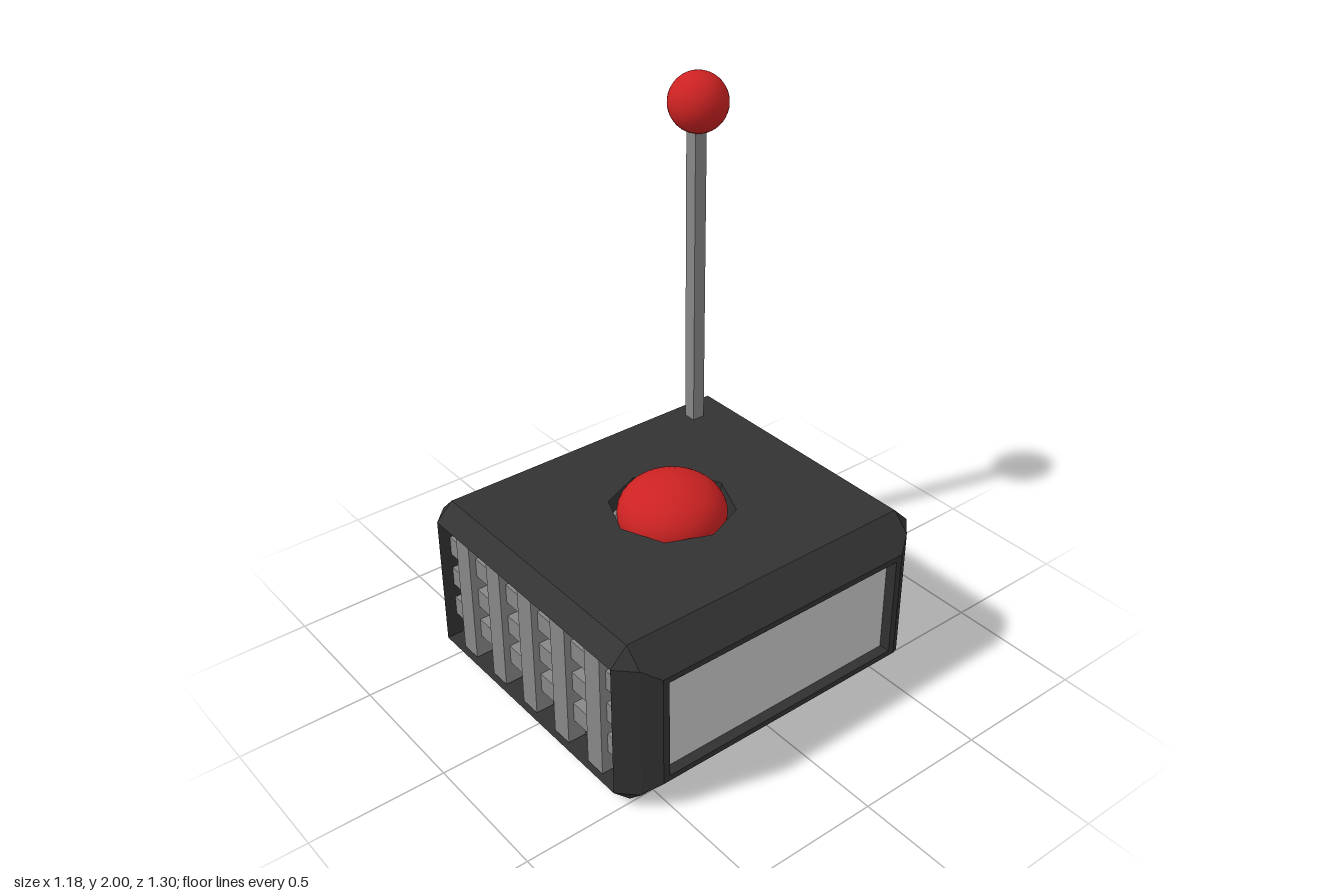
import * as THREE from 'three';

const paint = (color, extra = {}) => new THREE.MeshStandardMaterial({ color, ...extra });

// Octagonal ring (rectangle with cut corners), counter-clockwise seen from +z
function ring(hx, hy, z, c = 0) {
  return [
    [hx, c - hy], [hx, hy - c], [hx - c, hy], [c - hx, hy],
    [-hx, hy - c], [-hx, c - hy], [c - hx, -hy], [hx - c, -hy],
  ].map(([x, y]) => [x, y, z]);
}

// Flat-faced skin through a list of rings; skip(segment, side) leaves a side open
function loft(rings, skip = () => false) {
  const pos = [];
  for (let s = 0; s < rings.length - 1; s++) {
    for (let i = 0; i < 8; i++) {
      if (skip(s, i)) continue;
      const j = (i + 1) % 8;
      const a = rings[s][i], b = rings[s][j], c = rings[s + 1][j], d = rings[s + 1][i];
      pos.push(...a, ...b, ...c, ...a, ...c, ...d);
    }
  }
  const g = new THREE.BufferGeometry();
  g.setAttribute('position', new THREE.Float32BufferAttribute(pos, 3));
  g.computeVertexNormals();
  return g;
}

export function createModel() {
  const model = new THREE.Group();
  const dark = paint(0x333333, { flatShading: true });
  const darkOpen = paint(0x333333, { flatShading: true, side: THREE.DoubleSide });
  const metal = paint(0x888888);
  const red = paint(0xcc2222);
  const pale = paint(0xcccccc);

  const add = (name, geometry, material, x, y, z, parent = model) => {
    const mesh = new THREE.Mesh(geometry, material);
    mesh.name = name;
    mesh.position.set(x, y, z);
    parent.add(mesh);
    return mesh;
  };
  const box = (w, h, d) => new THREE.BoxGeometry(w, h, d);

  const cx = -0.0225, hx = 0.5725, hy = 0.3225, hz = 0.65, c = 0.065;

  // Chamfered case with a recessed front; its top panel is added separately
  add('case', loft([
    ring(0, 0, -hz),
    ring(hx - c, hy - c, -hz),
    ring(hx, hy, c - hz, c),
    ring(hx, hy, hz - c, c),
    ring(hx - c, hy - c, hz),
    ring(hx - c, hy - c, 0.56),
    ring(0, 0, 0.56),
  ], (s, i) => s === 2 && i === 2), dark, cx, hy, 0);

  // Top panel with an eight-sided hole
  const w = hx - c, d = hz - c, holeR = 0.225;
  const panel = new THREE.Shape([[-w, -d], [w, -d], [w, d], [-w, d]].map(p => new THREE.Vector2(...p)));
  const hole = [];
  for (let i = 0; i < 8; i++) {
    const t = -i * Math.PI / 4;
    hole.push(new THREE.Vector2(holeR * Math.cos(t), holeR * Math.sin(t)));
  }
  panel.holes.push(new THREE.Path(hole));
  add('topPanel', new THREE.ShapeGeometry(panel).rotateX(-Math.PI / 2), dark, cx, 2 * hy, 0);

  // Well under the hole
  add('buttonWell', new THREE.CylinderGeometry(holeR, holeR, 0.195, 8, 1, true).rotateY(Math.PI / 2), darkOpen, cx, 0.5475, 0);
  add('wellFloor', new THREE.CircleGeometry(holeR, 8).rotateX(-Math.PI / 2), dark, cx, 0.45, 0);

  // Domed push button
  add('button', new THREE.SphereGeometry(1, 40, 24).scale(0.195, 0.14, 0.195), red, cx, 0.62, 0);

  // Front grille: upright bars running deep into the case, crossbars set behind
  const grille = new THREE.Group();
  grille.name = 'grille';
  model.add(grille);
  for (let i = -2; i <= 2; i++) {
    add('uprightBar', box(0.08, 0.51, 0.59), metal, cx + i * 0.19, hy + 0.003, 0.335, grille);
  }
  for (let i = -1; i <= 1; i++) {
    add('crossBar', box(2 * w, 0.075, 0.06), metal, cx, 0.327 + i * 0.133, 0.575, grille);
  }

  // Bevelled screen surround on the left side
  const bezel = add('screenFrame', loft([
    ring(0.585, 0.257, 0.55),
    ring(0.525, 0.217, 0.59),
    ring(0.5, 0.195, 0.59),
    ring(0.485, 0.182, 0.555),
  ]), darkOpen, 0, 0.325, 0);
  bezel.rotation.y = Math.PI / 2;
  add('screen', box(0.02, 0.37, 0.97), pale, 0.55, 0.325, 0);

  // Aerial with ball tip
  add('aerialRod', box(0.05, 1.25, 0.05), metal, -0.448, 1.235, -0.45);
  add('aerialBall', new THREE.SphereGeometry(0.108, 32, 20), red, -0.446, 1.892, -0.455);

  return model;
}
